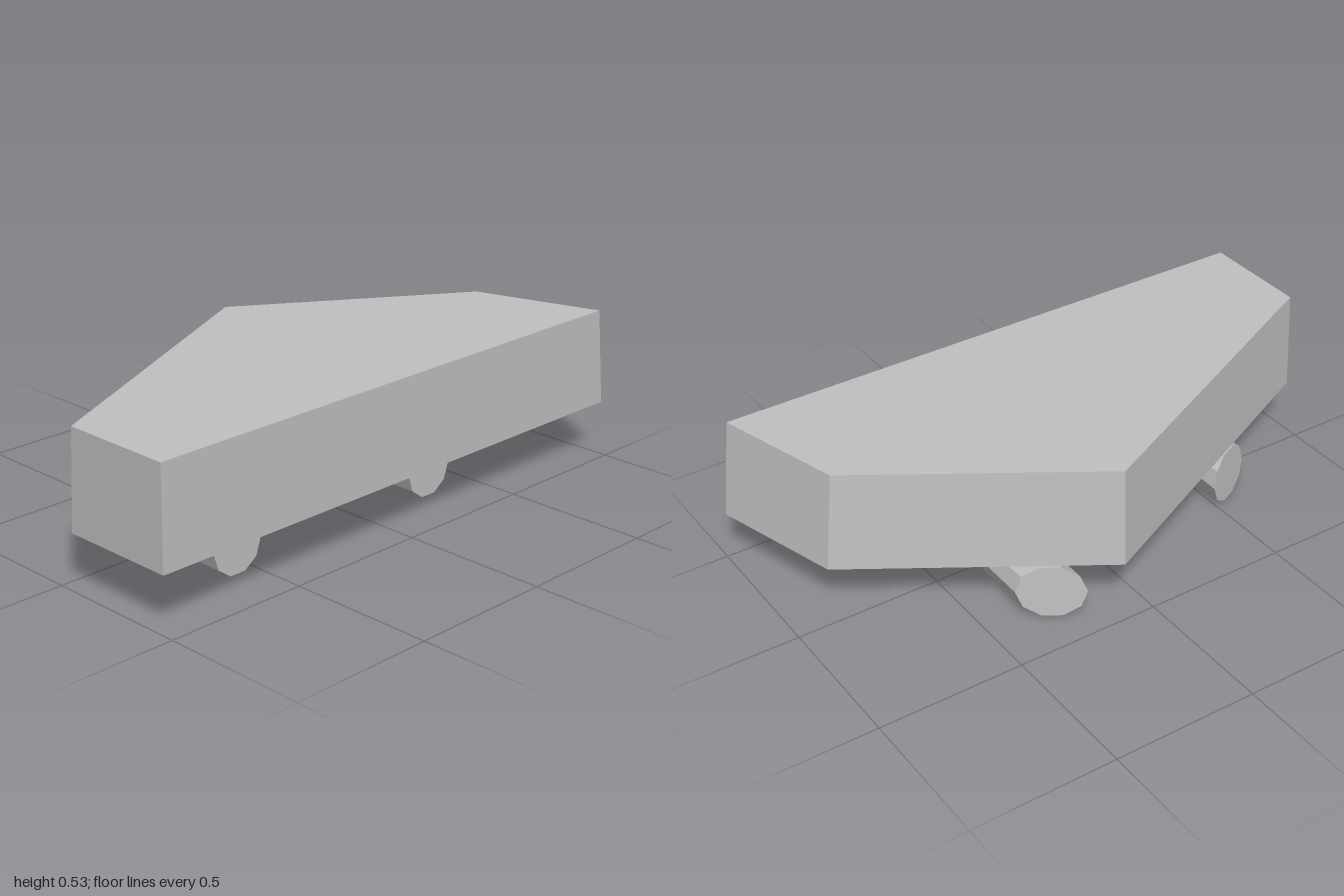
import * as THREE from 'three';
import { ConvexGeometry } from 'three/addons/geometries/ConvexGeometry.js';

const gray = new THREE.MeshStandardMaterial({ color: 0xc0c0c0 });
gray.name = 'plainGray';

function solid(name, points) {
  const mesh = new THREE.Mesh(new ConvexGeometry(points), gray);
  mesh.name = name;
  return mesh;
}

// Ten-sided roller along z, its back end cut flush with the sloping body wall
function roller(name, x, y, backZ, slope) {
  const radius = 0.096, points = [];
  for (let i = 0; i < 10; i++) {
    const a = (i / 10) * Math.PI * 2;
    const dx = radius * Math.cos(a), dy = radius * Math.sin(a);
    points.push(new THREE.Vector3(x + dx, y + dy, 0.308));
    points.push(new THREE.Vector3(x + dx, y + dy, backZ + slope * dx + 0.065 * dy));
  }
  return solid(name, points);
}

export function createModel() {
  const group = new THREE.Group();
  group.name = 'wedgeOnRollers';

  // Five-sided slab, slightly narrower at the top
  const bottom = [[-1, 0.47], [1, 0.47], [0.868, 0.029], [0.092, -0.47], [-1, 0.063]];
  const top = [[-1, 0.47], [0.96, 0.47], [0.832, 0.033], [0.085, -0.45], [-1, 0.08]];
  group.add(solid('body', [
    ...bottom.map(([x, z]) => new THREE.Vector3(x, 0.19, z)),
    ...top.map(([x, z]) => new THREE.Vector3(x, 0.53, z)),
  ]));

  // Two rollers underneath
  group.add(roller('leftRoller', 0.29, 0.094, -0.352, 0.65));
  group.add(roller('rightRoller', -0.57, 0.0915, -0.154, -0.486));
  return group;
}
